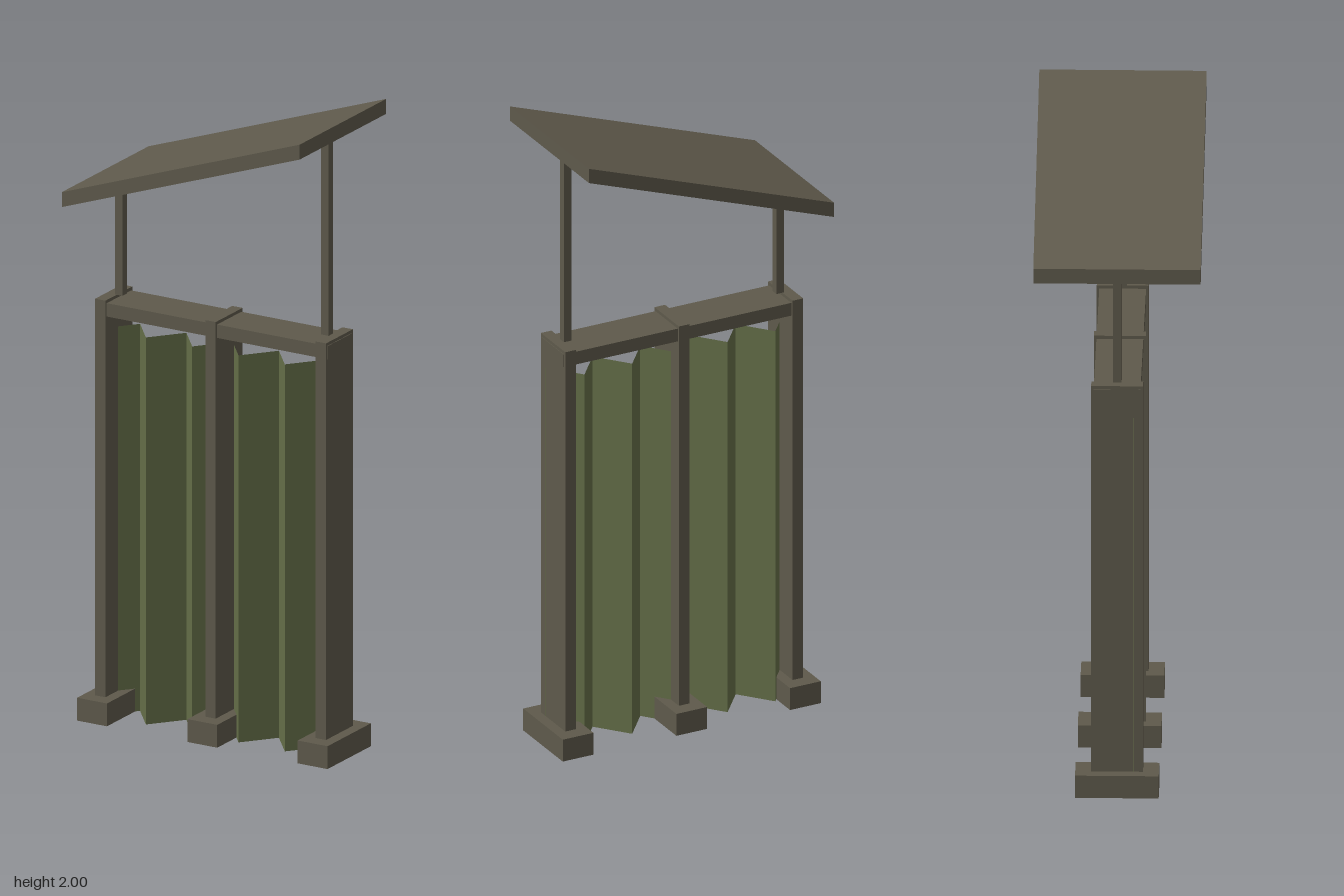
import * as THREE from 'three';

export function createModel() {
  const model = new THREE.Group();
  const wood = new THREE.MeshStandardMaterial({ color: 0x5e594b });
  wood.name = 'weathered wood';
  const cloth = new THREE.MeshStandardMaterial({ color: 0x646e48, side: THREE.DoubleSide, flatShading: true });
  cloth.name = 'olive cloth';

  // Box resting on y0, reaching up to y1
  const box = (name, x, y0, y1, width, depth) => {
    const mesh = new THREE.Mesh(new THREE.BoxGeometry(width, y1 - y0, depth), wood);
    mesh.position.set(x, (y0 + y1) / 2, 0);
    mesh.name = name;
    model.add(mesh);
    return mesh;
  };

  // Three frame posts, each standing on a block foot
  for (const [side, x] of [['right', -0.385], ['middle', 0], ['left', 0.385]]) {
    box(side + 'Foot', x, 0, 0.072, 0.104, 0.25);
    box(side + 'Post', x, 0.072, 1.322, 0.036, 0.155);
  }

  // Top rail joining the posts
  box('topRail', 0, 1.27, 1.312, 0.81, 0.14);

  // Thin poles of unequal height holding up the roof
  box('rightRoofPole', -0.36, 1.322, 1.677, 0.026, 0.026);
  box('leftRoofPole', 0.36, 1.322, 1.933, 0.026, 0.026);

  // Sloping roof with upright ends, made by shearing a flat slab
  const roof = box('roof', 0, 1.806, 1.853, 0.83, 0.5);
  const shear = new THREE.Matrix4().set(
    1, 0, 0, 0,
    0.355, 1, 0, 0,
    0, 0, 1, 0,
    0, 0, 0, 1);
  roof.geometry.applyMatrix4(shear);
  roof.geometry.computeVertexNormals();

  // Pleated curtain: a plane folded back and forth along x
  const folds = 10;
  const sheet = new THREE.PlaneGeometry(0.808, 1.22, folds, 1);
  const pos = sheet.attributes.position;
  for (let i = 0; i < pos.count; i++) {
    pos.setZ(i, (i % (folds + 1)) % 2 === 0 ? 0.05 : -0.05);
  }
  sheet.computeVertexNormals();
  const curtain = new THREE.Mesh(sheet, cloth);
  curtain.position.y = 0.61;
  curtain.name = 'pleatedCurtain';
  model.add(curtain);

  return model;
}
